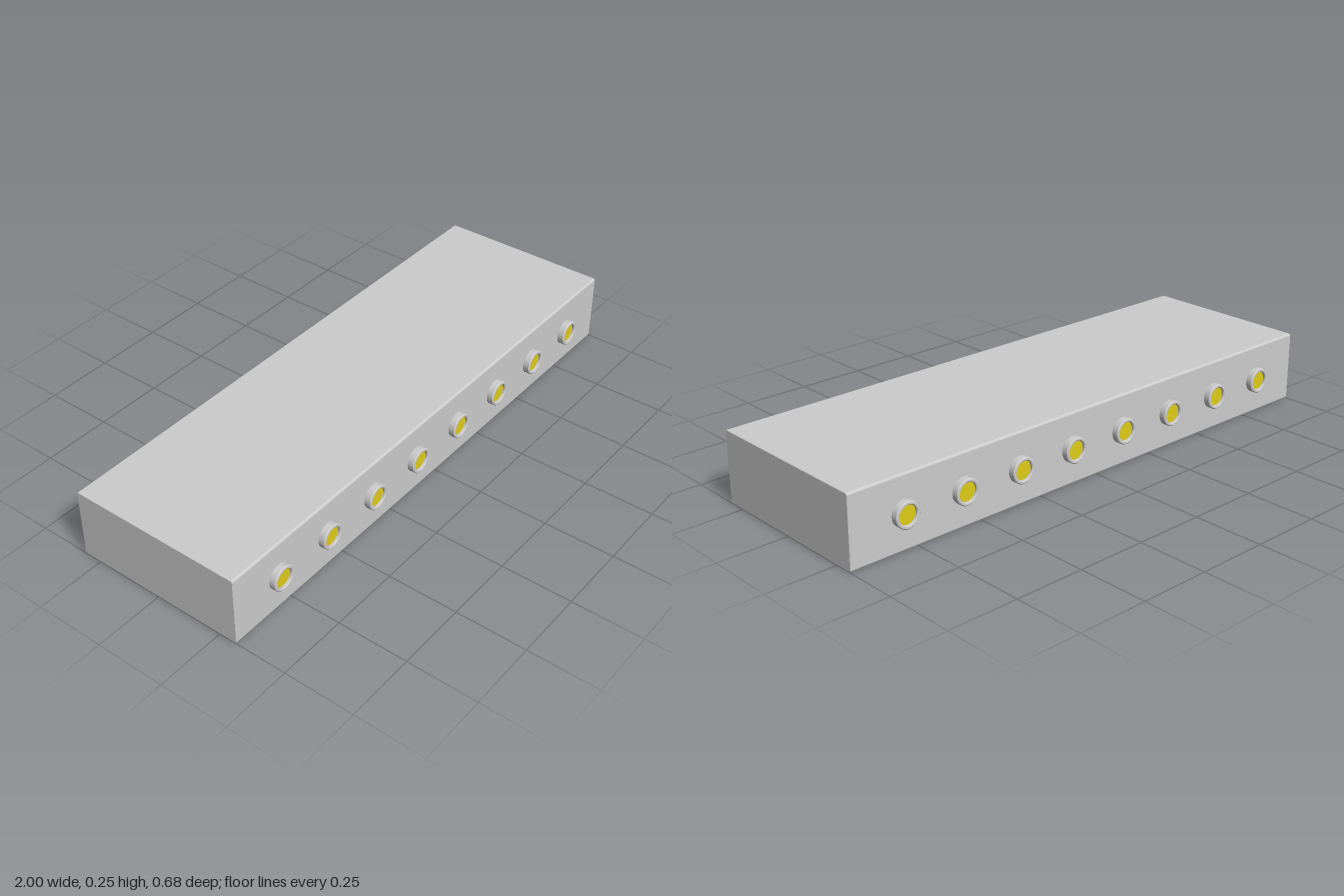
import * as THREE from 'three';

const LENGTH = 2, HEIGHT = 0.252, HALF_DEPTH = 0.316;
const PORTS = 8, SPACING = 0.229;

export function createModel() {
  const model = new THREE.Group();
  const grey = new THREE.MeshStandardMaterial({ color: 0xcccccc });
  const yellow = new THREE.MeshStandardMaterial({ color: 0xe0cc18 });

  // Housing: a softly rounded cross-section run along x
  const r = 0.008, w = HALF_DEPTH, h = HEIGHT / 2;
  const profile = new THREE.Shape();
  profile.absarc(w - r, h - r, r, 0, Math.PI / 2);
  profile.absarc(-w + r, h - r, r, Math.PI / 2, Math.PI);
  profile.absarc(-w + r, -h + r, r, Math.PI, Math.PI * 1.5);
  profile.absarc(w - r, -h + r, r, Math.PI * 1.5, Math.PI * 2);
  const bevel = 0.002;
  const bodyGeometry = new THREE.ExtrudeGeometry(profile, {
    depth: LENGTH - 2 * bevel, curveSegments: 4,
    bevelThickness: bevel, bevelSize: bevel, bevelOffset: -bevel, bevelSegments: 1,
  });
  bodyGeometry.translate(0, 0, -LENGTH / 2 + bevel).rotateY(Math.PI / 2);
  const body = new THREE.Mesh(bodyGeometry, grey);
  body.name = 'housing';
  body.position.y = h;
  model.add(body);

  // Collar profile (radius, height): outer wall, chamfered lip, recessed bore
  const collarGeometry = new THREE.LatheGeometry([
    [0.045, -0.004], [0.045, 0.021], [0.045, 0.021], [0.042, 0.024], [0.042, 0.024],
    [0.036, 0.024], [0.036, 0.024], [0.033, 0.021], [0.033, 0.021], [0.033, 0.008],
  ].map(([x, y]) => new THREE.Vector2(x, y)), 32).rotateX(Math.PI / 2);
  const lensGeometry = new THREE.CircleGeometry(0.0335, 32).translate(0, 0, 0.014);
  const collarMaterial = grey.clone();
  collarMaterial.side = THREE.DoubleSide;

  // Matching rows of ports on the front and back
  for (const side of [1, -1]) {
    const row = new THREE.Group();
    row.name = side > 0 ? 'frontPorts' : 'backPorts';
    row.position.set(0, h, side * HALF_DEPTH);
    if (side < 0) row.rotation.y = Math.PI;
    for (let i = 0; i < PORTS; i++) {
      const port = new THREE.Group();
      port.name = 'port';
      port.position.x = (i - (PORTS - 1) / 2) * SPACING;
      const collar = new THREE.Mesh(collarGeometry, collarMaterial);
      collar.name = 'collar';
      const lens = new THREE.Mesh(lensGeometry, yellow);
      lens.name = 'lens';
      port.add(collar, lens);
      row.add(port);
    }
    model.add(row);
  }
  return model;
}
